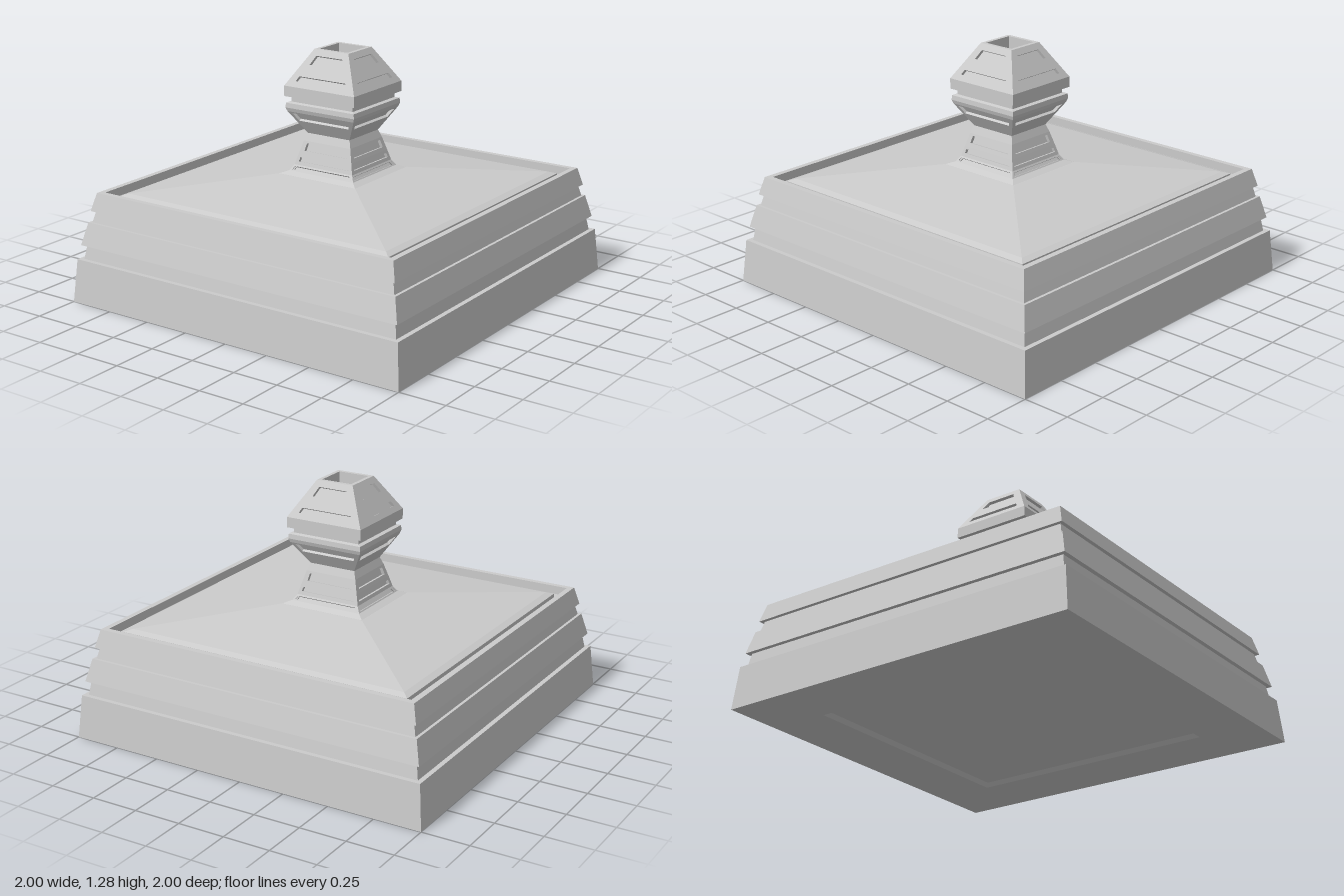
import * as THREE from 'three';

const material = new THREE.MeshStandardMaterial({ color: 0xcccccc, flatShading: true });
const DEPTH = 0.018; // how far the slots are cut in

// Square loft: profile of [half width, height], listed so that faces point outward
function squareLoft(name, profile) {
  const points = profile.map(([h, y]) => new THREE.Vector2(h * Math.SQRT2, y));
  const geometry = new THREE.LatheGeometry(points, 4, Math.PI / 4).toNonIndexed();
  geometry.computeVertexNormals();
  const mesh = new THREE.Mesh(geometry, material);
  mesh.name = name;
  return mesh;
}

// Four sloping plates between two square levels, each with trapezoid slots
// slot: [bottom y, top y, bottom half width, top half width]
function slottedBand(name, [h0, y0], [h1, y1], slots = []) {
  const band = new THREE.Group();
  band.name = name;
  const length = Math.hypot(h1 - h0, y1 - y0);
  const along = (y) => ((y - y0) / (y1 - y0)) * length;
  const trapezoid = (Type, v0, v1, w0, w1) => new Type([
    new THREE.Vector2(-w0, v0), new THREE.Vector2(w0, v0),
    new THREE.Vector2(w1, v1), new THREE.Vector2(-w1, v1),
  ]);
  const shape = trapezoid(THREE.Shape, 0, length, h0, h1);
  for (const [yb, yt, wb, wt] of slots) {
    shape.holes.push(trapezoid(THREE.Path, along(yb), along(yt), wb, wt));
  }
  const geometry = new THREE.ExtrudeGeometry(shape, { depth: DEPTH, bevelEnabled: false });
  geometry.translate(0, 0, -DEPTH);

  // Tilt the plate to the slope of the band
  const x = new THREE.Vector3(1, 0, 0);
  const up = new THREE.Vector3(0, y1 - y0, h1 - h0).normalize();
  const normal = new THREE.Vector3().crossVectors(x, up);
  geometry.applyMatrix4(new THREE.Matrix4().makeBasis(x, up, normal).setPosition(0, y0, h0));
  for (let i = 0; i < 4; i++) {
    const plate = new THREE.Mesh(geometry, material);
    plate.name = name + 'Plate';
    plate.rotation.y = (i * Math.PI) / 2;
    band.add(plate);
  }
  return band;
}

export function createModel() {
  const model = new THREE.Group();
  model.name = 'squareRoofWithFinial';

  // Stepped base with a recessed underside and a gutter inside the rim
  model.add(squareLoft('steppedBase', [
    [0, 0.02], [0.66, 0.02], [0.68, 0], [1, 0],
    [0.98, 0.23], [0.955, 0.23], [0.942, 0.305],
    [0.965, 0.305], [0.935, 0.425], [0.92, 0.425], [0.905, 0.485],
    [0.925, 0.485], [0.9, 0.58], [0.87, 0.58], [0.87, 0.535], [0.82, 0.535],
  ]));

  // Shallow pyramid roof
  model.add(squareLoft('roof', [[0.82, 0.535], [0.82, 0.556], [0.785, 0.568], [0.24, 0.635], [0, 0.635]]));

  const finial = new THREE.Group();
  finial.name = 'finial';
  model.add(finial);

  // Neck and bowl: slotted bands over a slightly smaller core
  const neck = [
    [0.238, 0.635], [0.2, 0.65], [0.18, 0.68], [0.165, 0.735],
    [0.145, 0.805], [0.13, 0.845], [0.155, 0.885], [0.205, 0.965],
  ];
  const neckSlots = {
    1: [0.656, 0.672, 0.183, 0.174],
    2: [0.698, 0.72, 0.157, 0.151],
    3: [0.755, 0.793, 0.132, 0.123],
    6: [0.915, 0.957, 0.152, 0.177],
  };
  for (let i = 0; i < neck.length - 1; i++) {
    const name = i < 5 ? 'neckBand' : 'bowlBand';
    finial.add(slottedBand(name, neck[i], neck[i + 1], neckSlots[i] ? [neckSlots[i]] : []));
  }
  finial.add(squareLoft('neckCore', neck.map(([h, y]) => [h - DEPTH, y])));

  // Bowl rim, groove and collar
  finial.add(squareLoft('collar', [
    [0.205, 0.965], [0.212, 0.985], [0.21, 1.01], [0.19, 1.015],
    [0.19, 1.045], [0.216, 1.045], [0.216, 1.1],
  ]));

  // Tapered cap with two slots per side
  const capBottom = [0.216, 1.1], capTop = [0.105, 1.285];
  finial.add(slottedBand('cap', capBottom, capTop, [
    [1.128, 1.152, 0.155, 0.142],
    [1.21, 1.255, 0.103, 0.08],
  ]));
  finial.add(squareLoft('capCore', [capBottom, capTop].map(([h, y]) => [h - DEPTH, y])));

  // Open square socket in the top
  finial.add(squareLoft('topSocket', [capTop, [0.085, 1.285], [0.085, 1.17], [0, 1.17]]));

  return model;
}
